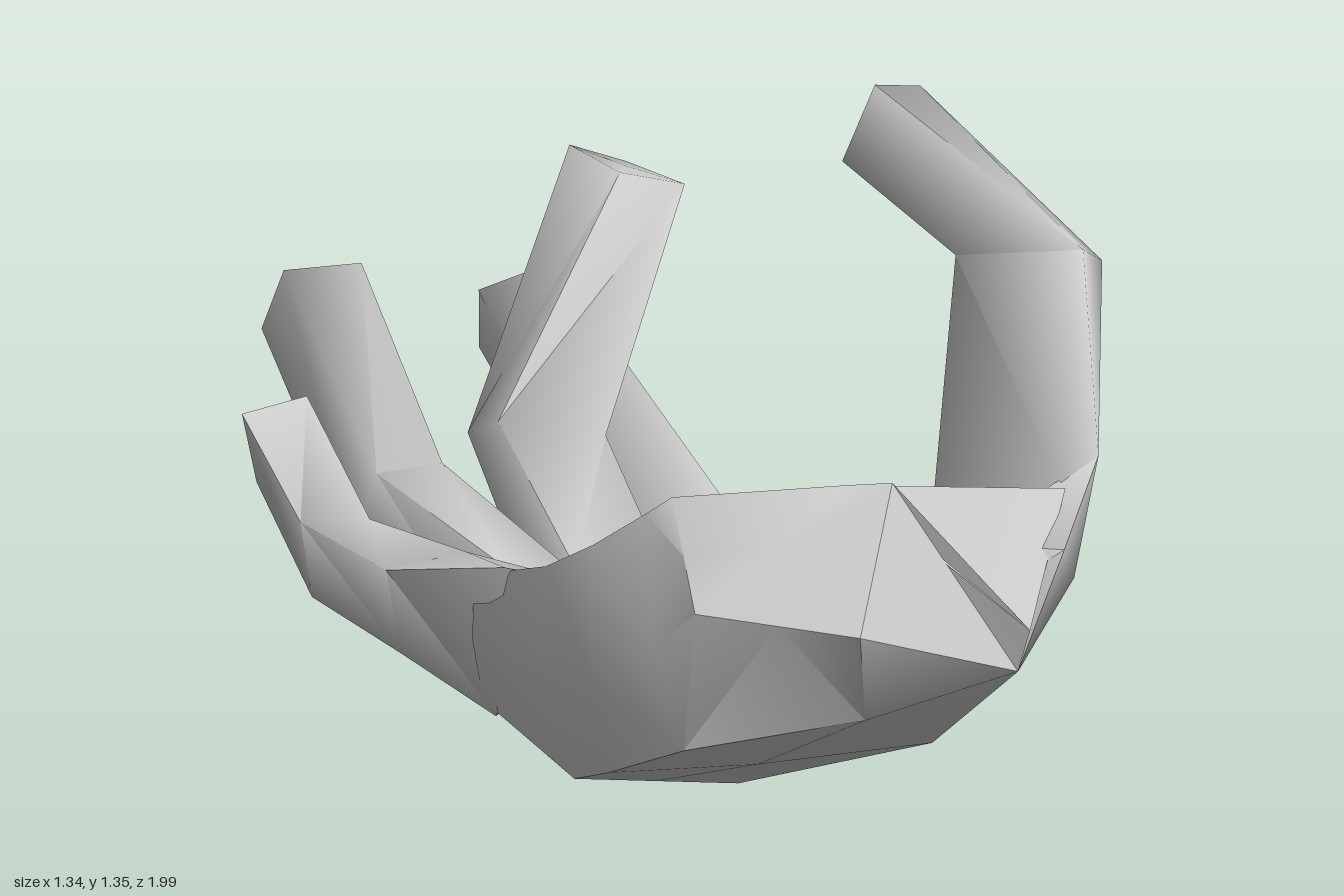
import * as THREE from 'three';
import { toCreasedNormals } from 'three/addons/utils/BufferGeometryUtils.js';

// Skin a list of rings (each a loop of [x, y, z], counter-clockwise seen from the last ring) and close both ends.
function loft(rings, crease) {
  const pos = [];
  const tri = (a, b, c) => pos.push(...a, ...b, ...c);
  const n = rings[0].length;
  for (let i = 0; i < rings.length - 1; i++) {
    for (let j = 0; j < n; j++) {
      const k = (j + 1) % n;
      const a = rings[i][j], b = rings[i][k], c = rings[i + 1][k], d = rings[i + 1][j];
      tri(a, b, c);
      tri(a, c, d);
    }
  }
  const cap = (ring) => {
    const mid = [0, 1, 2].map((q) => ring.reduce((s, p) => s + p[q], 0) / n);
    ring.forEach((p, j) => tri(mid, p, ring[(j + 1) % n]));
  };
  cap([...rings[0]].reverse());
  cap(rings[rings.length - 1]);
  const geo = new THREE.BufferGeometry();
  geo.setAttribute('position', new THREE.Float32BufferAttribute(pos, 3));
  return toCreasedNormals(geo, crease);
}

export function createModel() {
  const group = new THREE.Group();
  group.name = 'hand';
  const material = new THREE.MeshStandardMaterial({ color: 0xcccccc });
  const add = (name, rings, crease = 1.75) => {
    const mesh = new THREE.Mesh(loft(rings, crease), material);
    mesh.name = name;
    group.add(mesh);
  };

  // Palm, from the cut wrist to the knuckles: three points across the palm,
  // thumb side, three across the back of the hand, little-finger side
  add('palm', [
    [[-0.56, 0.82, 0.51], [-0.43, 0.83, 0.65], [-0.33, 0.837, 0.755], [-0.27, 0.84, 0.82],
      [-0.5, 0.61, 0.93], [-0.58, 0.625, 0.79], [-0.66, 0.64, 0.65], [-0.61, 0.73, 0.58]],
    [[-0.58, 0.78, 0.46], [-0.34, 0.72, 0.58], [0.18, 0.72, 0.88], [-0.06, 0.52, 0.99],
      [-0.06, 0.43, 0.96], [-0.4, 0.4, 0.86], [-0.67, 0.36, 0.63], [-0.67, 0.55, 0.55]],
    [[-0.63, 0.71, 0.37], [-0.33, 0.54, 0.42], [0.13, 0.43, 0.56], [0.13, 0.38, 0.64],
      [0.02, 0.2, 0.68], [-0.3, 0.205, 0.51], [-0.62, 0.25, 0.4], [-0.67, 0.45, 0.4]],
    [[-0.65, 0.65, 0.27], [-0.28, 0.45, 0.22], [0.12, 0.36, 0.3], [0.12, 0.22, 0.28],
      [0.04, 0, 0.18], [-0.28, 0.105, 0.24], [-0.6, 0.21, 0.3], [-0.67, 0.42, 0.25]],
    [[-0.6, 0.57, 0.05], [-0.22, 0.46, -0.05], [0.12, 0.34, 0.14], [0.145, 0.22, 0.06],
      [0.15, 0.09, 0], [-0.2, 0.21, -0.05], [-0.56, 0.3, 0.04], [-0.63, 0.45, 0.07]],
  ], 0.75);

  // Thumb: root along the heel of the hand, base, knuckle, tip
  add('thumb', [
    [[0.08, 0.64, 0.96], [-0.06, 0.43, 0.96], [-0.06, 0.4, 0.6], [-0.02, 0.64, 0.78]],
    [[0.28, 0.76, 0.88], [0.34, 0.47, 0.77], [0.14, 0.42, 0.56], [0.19, 0.72, 0.86]],
    [[0.5, 1.07, 0.66], [0.63, 1, 0.6], [0.55, 0.98, 0.38], [0.43, 1.02, 0.4]],
    [[0.38, 1.345, 0.24], [0.53, 1.3, 0.23], [0.51, 1.14, 0.16], [0.36, 1.18, 0.175]],
  ]);

  // Fingers: rings run root to tip, corners top left, top right, bottom right, bottom left
  add('indexFinger', [
    [[-0.02, 0.36, 0.2], [0.11, 0.35, 0.24], [0.04, 0.01, 0.18], [-0.1, 0.06, 0.18]],
    [[0.02, 0.37, 0], [0.12, 0.34, 0.14], [0.15, 0.09, 0], [0.04, 0.125, -0.02]],
    [[0.2, 0.42, -0.24], [0.34, 0.43, -0.1], [0.38, 0.31, -0.28], [0.25, 0.29, -0.34]],
    [[0.48, 0.66, -0.83], [0.61, 0.7, -0.75], [0.67, 0.54, -0.8], [0.53, 0.52, -0.87]],
  ]);
  add('middleFinger', [
    [[-0.2, 0.46, -0.03], [0.04, 0.41, -0.01], [0.04, 0.125, -0.02], [-0.2, 0.21, -0.05]],
    [[0.09, 0.58, -0.46], [0.27, 0.53, -0.34], [0.36, 0.4, -0.52], [0.18, 0.5, -0.61]],
    [[0.3, 1.06, -0.33], [0.46, 1, -0.3], [0.49, 1, -0.47], [0.33, 1.075, -0.48]],
  ]);
  add('ringFinger', [
    [[-0.43, 0.52, 0], [-0.21, 0.46, -0.04], [-0.2, 0.21, -0.05], [-0.42, 0.265, 0]],
    [[-0.18, 0.53, -0.54], [-0.03, 0.52, -0.5], [-0.01, 0.38, -0.57], [-0.16, 0.37, -0.62]],
    [[0, 0.81, -0.92], [0.15, 0.8, -0.85], [0.18, 0.67, -0.93], [0.03, 0.665, -1]],
  ]);
  add('littleFinger', [
    [[-0.64, 0.62, 0.16], [-0.48, 0.56, 0.2], [-0.42, 0.265, 0.01], [-0.57, 0.28, 0.08]],
    [[-0.6, 0.53, -0.17], [-0.42, 0.53, -0.12], [-0.41, 0.36, -0.12], [-0.58, 0.36, -0.15]],
    [[-0.47, 0.52, -0.49], [-0.37, 0.52, -0.4], [-0.36, 0.37, -0.4], [-0.46, 0.37, -0.47]],
    [[-0.32, 0.64, -0.76], [-0.16, 0.64, -0.73], [-0.14, 0.51, -0.67], [-0.3, 0.5, -0.74]],
  ]);

  return group;
}
